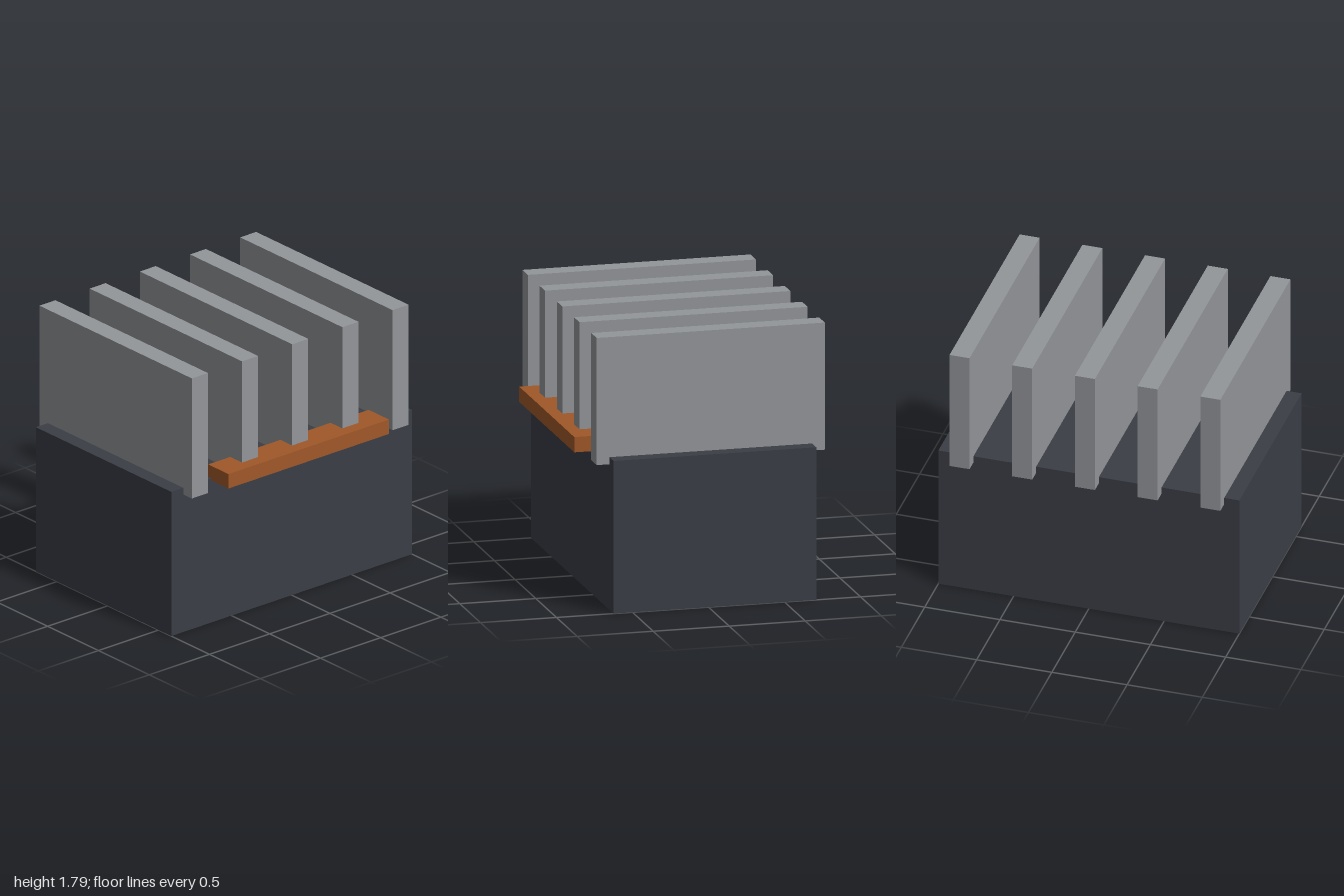
import * as THREE from 'three';

export function createModel() {
  const group = new THREE.Group();
  const dark = new THREE.MeshStandardMaterial({ color: 0x3b3e46 });
  const metal = new THREE.MeshStandardMaterial({ color: 0x93969a });
  const copper = new THREE.MeshStandardMaterial({ color: 0xa05828 });

  const addBox = (name, material, size, position) => {
    const mesh = new THREE.Mesh(new THREE.BoxGeometry(...size), material);
    mesh.name = name;
    mesh.position.set(...position);
    group.add(mesh);
  };

  // Solid base block
  addBox('base', dark, [2, 1, 1.333], [0, 0.5, -0.042]);

  // Row of upright cooling fins, sunk slightly into the base and overhanging it
  for (let i = -2; i <= 2; i++) {
    addBox(`fin${i + 3}`, metal, [0.133, 0.833, 1.5], [i * 0.4167, 1.37, -0.042]);
  }

  // Bar across the front of the middle fins
  addBox('frontBar', copper, [1.333, 0.1, 0.2], [0, 1.035, 0.692]);

  return group;
}
